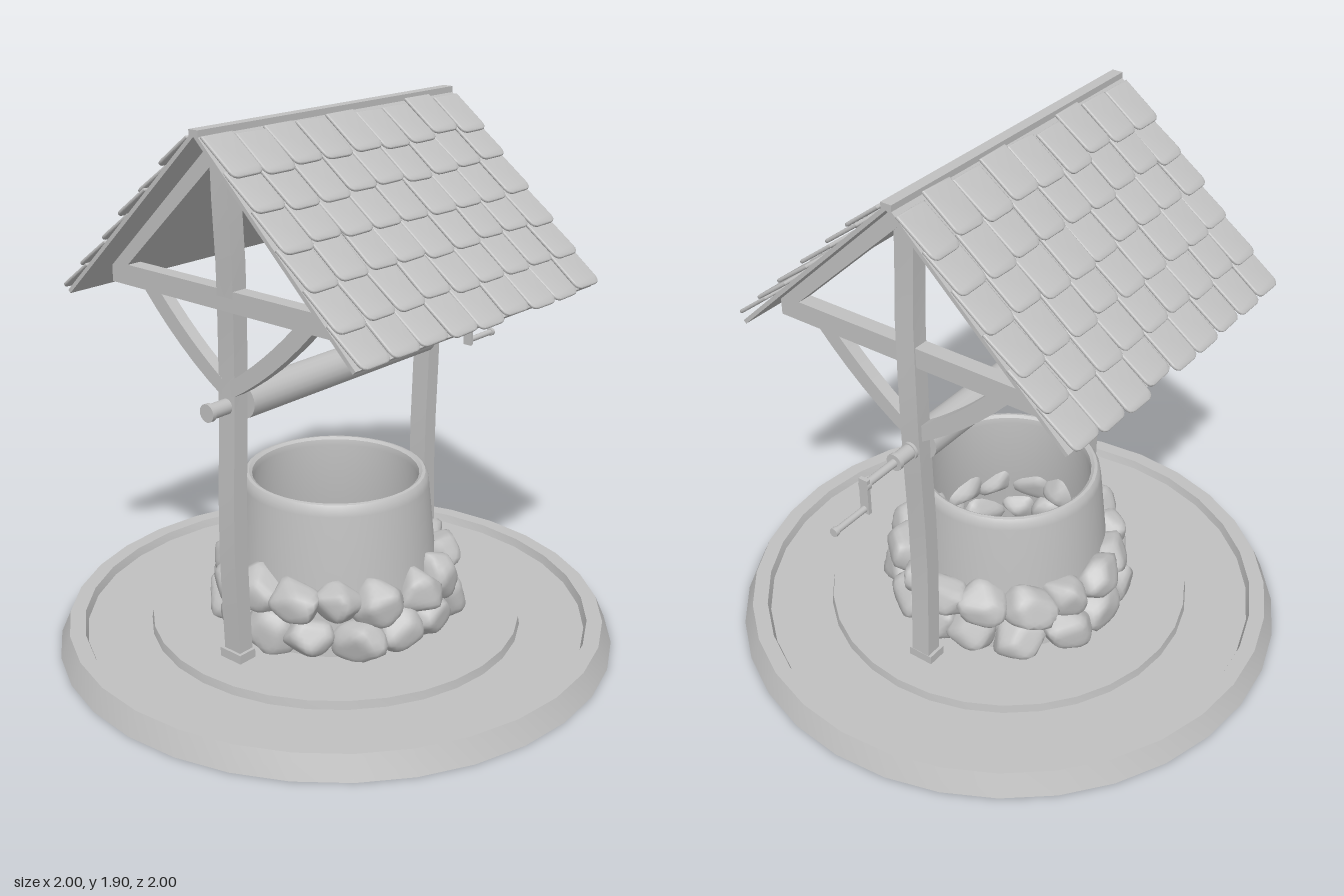
import * as THREE from 'three';
import { mergeVertices, toCreasedNormals } from 'three/addons/utils/BufferGeometryUtils.js';

const grey = new THREE.MeshStandardMaterial({ color: 0xc0c0c0 });
grey.name = 'plain grey';

let seed = 11;
const rand = () => (seed = (seed * 16807) % 2147483647) / 2147483647;
const jitter = (a) => (rand() * 2 - 1) * a;

function add(parent, name, geometry, x = 0, y = 0, z = 0) {
  const mesh = new THREE.Mesh(geometry, grey);
  mesh.name = name;
  mesh.position.set(x, y, z);
  parent.add(mesh);
  return mesh;
}

function lathe(points, sides) {
  const profile = points.map(([x, y]) => new THREE.Vector2(x, y));
  return toCreasedNormals(new THREE.LatheGeometry(profile, sides), 0.6);
}

// Rounded boulder: a sphere pressed towards a handful of random planes
function stoneGeometry(w, h, d) {
  const planes = [];
  for (let i = 0; i < 12; i++) {
    const v = 1 - (2 * (i + 0.5)) / 12, a = i * 2.4 + jitter(0.5), r = Math.sqrt(1 - v * v);
    planes.push({ n: new THREE.Vector3(r * Math.cos(a), v, r * Math.sin(a)), h: 0.82 + rand() * 0.3 });
  }
  let geo = new THREE.IcosahedronGeometry(1, 4);
  geo.deleteAttribute('uv');
  geo.deleteAttribute('normal');
  geo = mergeVertices(geo);
  const pos = geo.attributes.position, p = new THREE.Vector3();
  for (let i = 0; i < pos.count; i++) {
    p.fromBufferAttribute(pos, i).normalize();
    let sum = 0;
    for (const f of planes) sum += Math.pow(Math.max(0, p.dot(f.n) / f.h), 14);
    p.multiplyScalar(Math.pow(sum, -1 / 14));
    pos.setXYZ(i, p.x * w, p.y * h, p.z * d);
  }
  geo.computeVertexNormals();
  return geo;
}

// Slightly crooked timber post
function postGeometry() {
  const geo = new THREE.BoxGeometry(0.06, 1.79, 0.072, 1, 9, 1);
  const pos = geo.attributes.position;
  for (let i = 0; i < pos.count; i++) {
    const y = pos.getY(i) + 0.975;
    pos.setX(i, pos.getX(i) + 0.009 * Math.sin(y * 5.2 + 2));
    if (y > 1.2 && y < 1.8) pos.setZ(i, pos.getZ(i) + 0.012 * Math.sin((y - 1.2) * 5.2));
  }
  geo.computeVertexNormals();
  return geo;
}

// Plate drawn in the z-y plane, given depth along x
function sidePlate(shape, depth) {
  const geo = new THREE.ExtrudeGeometry(shape, { depth, bevelEnabled: false, curveSegments: 6 });
  return geo.translate(0, 0, -depth / 2).rotateY(Math.PI / 2);
}

function shapeOf(points, Type = THREE.Shape) {
  return new Type(points.map(([x, y]) => new THREE.Vector2(x, y)));
}

// Shingle with round lower corners, hanging upwards from its lower edge
function tileGeometry() {
  const w = 0.058, l = 0.16, r = 0.022, s = new THREE.Shape();
  s.moveTo(-w, l);
  s.lineTo(-w, r);
  s.quadraticCurveTo(-w, 0, -w + r, 0);
  s.lineTo(w - r, 0);
  s.quadraticCurveTo(w, 0, w, r);
  s.lineTo(w, l);
  const geo = new THREE.ExtrudeGeometry(s, {
    depth: 0.003, bevelSize: 0.007, bevelThickness: 0.005, bevelSegments: 3, curveSegments: 4,
  });
  return toCreasedNormals(geo, 0.7);
}

export function createModel() {
  const model = new THREE.Group();
  model.name = 'wishingWell';

  // Round base with raised rim, sunken ring, inner platform and central hole
  add(model, 'base', lathe([[0.36, 0], [1, 0], [0.965, 0.08], [0.91, 0.08], [0.9, 0.05],
    [0.67, 0.05], [0.665, 0.08], [0.36, 0.08], [0.36, 0]], 32));

  // Well wall
  add(model, 'wellWall', lathe([[0.385, 0.06], [0.355, 0.36], [0.333, 0.58], [0.329, 0.605], [0.319, 0.618],
    [0.308, 0.62], [0.297, 0.612], [0.293, 0.59], [0.33, 0.3], [0.36, 0.06]], 40));

  // Two courses of stones around the foot of the wall
  const stones = new THREE.Group();
  stones.name = 'stones';
  model.add(stones);
  for (const row of [{ n: 15, r: 0.385, y: 0.145, h: 0.08, w: 0.088 }, { n: 16, r: 0.378, y: 0.272, h: 0.074, w: 0.082 }]) {
    for (let i = 0; i < row.n; i++) {
      const a = ((i + (row.n % 2) * 0.5) / row.n) * Math.PI * 2 + jitter(0.04);
      const r = row.r + jitter(0.012);
      const geo = stoneGeometry(row.w * (1 + jitter(0.12)), row.h * (1 + jitter(0.15)), 0.07);
      geo.rotateZ(jitter(0.4)).rotateY(a).translate(Math.sin(a) * r, row.y + jitter(0.012), Math.cos(a) * r);
      const pos = geo.attributes.position;
      for (let k = 0; k < pos.count; k++) pos.setY(k, Math.max(pos.getY(k), 0.07));
      add(stones, 'stone', geo);
    }
  }

  // Posts, gable trusses and braces at both ends
  const gable = shapeOf([[-0.53, 1.32], [0.53, 1.32], [0.53, 1.39], [0, 1.89], [-0.53, 1.39]]);
  gable.holes.push(shapeOf([[-0.45, 1.39], [0, 1.81], [0.45, 1.39]], THREE.Path));
  for (const side of [-1, 1]) {
    const end = new THREE.Group();
    end.name = side > 0 ? 'leftFrame' : 'rightFrame';
    end.position.x = side * 0.503;
    model.add(end);
    add(end, 'post', postGeometry(), 0, 0.975, 0);
    add(end, 'postFoot', new THREE.BoxGeometry(0.072, 0.035, 0.095), 0, 0.095, 0);
    add(end, 'gableTruss', sidePlate(gable, 0.055));
    for (const s of [-1, 1]) {
      const brace = new THREE.Shape();
      brace.moveTo(s * 0.02, 1.03);
      brace.quadraticCurveTo(s * 0.21, 1.14, s * 0.38, 1.325);
      brace.lineTo(s * 0.3, 1.325);
      brace.quadraticCurveTo(s * 0.17, 1.19, s * 0.02, 1.09);
      add(end, 'brace', sidePlate(brace, 0.045));
    }
  }

  // Roof: two sloping decks, each with six rows of nine shingles
  const roof = new THREE.Group();
  roof.name = 'roof';
  roof.position.set(-0.017, 1.9, 0);
  model.add(roof);
  const tile = tileGeometry();
  for (const turn of [0, Math.PI]) {
    const half = new THREE.Group();
    half.name = turn ? 'backSlope' : 'frontSlope';
    half.rotation.y = turn;
    roof.add(half);
    const slope = new THREE.Group();
    slope.rotation.x = -0.81;
    half.add(slope);
    add(slope, 'roofDeck', new THREE.BoxGeometry(1.235, 0.884, 0.014), 0, -0.442, -0.007);
    for (let row = 0; row < 6; row++) {
      for (let col = 0; col < 9; col++) {
        const t = add(slope, 'shingle', tile, (col - 4) * 0.138 + jitter(0.004),
          -0.2 - row * 0.139 + jitter(0.013), 0.024 + jitter(0.003));
        t.rotation.set(-0.12 + jitter(0.015), jitter(0.02), jitter(0.025));
      }
    }
  }
  add(roof, 'ridgeCap', new THREE.BoxGeometry(1.235, 0.022, 0.04), 0, -0.009, 0);

  // Windlass: drum, axle, flanges and crank
  const windlass = new THREE.Group();
  windlass.name = 'windlass';
  windlass.position.y = 1;
  model.add(windlass);
  const rod = (name, x0, x1, r, y = 0) =>
    add(windlass, name, new THREE.CylinderGeometry(r, r, x1 - x0, 20).rotateZ(Math.PI / 2), (x0 + x1) / 2, y, 0);
  rod('drum', -0.46, 0.485, 0.061);
  rod('axle', -0.605, 0.62, 0.026);
  rod('axleCap', -0.615, -0.6, 0.031);
  rod('axleCollar', 0.535, 0.55, 0.031);
  rod('axleCollar', 0.61, 0.625, 0.03);
  rod('crankShaft', 0.62, 0.765, 0.014);
  rod('crankShaftCap', 0.755, 0.775, 0.02);
  add(windlass, 'crankArm', new THREE.BoxGeometry(0.014, 0.13, 0.034), 0.768, -0.04, 0);
  rod('crankHandle', 0.765, 0.92, 0.011, -0.088);
  rod('handleCap', 0.908, 0.922, 0.015, -0.088);

  return model;
}
